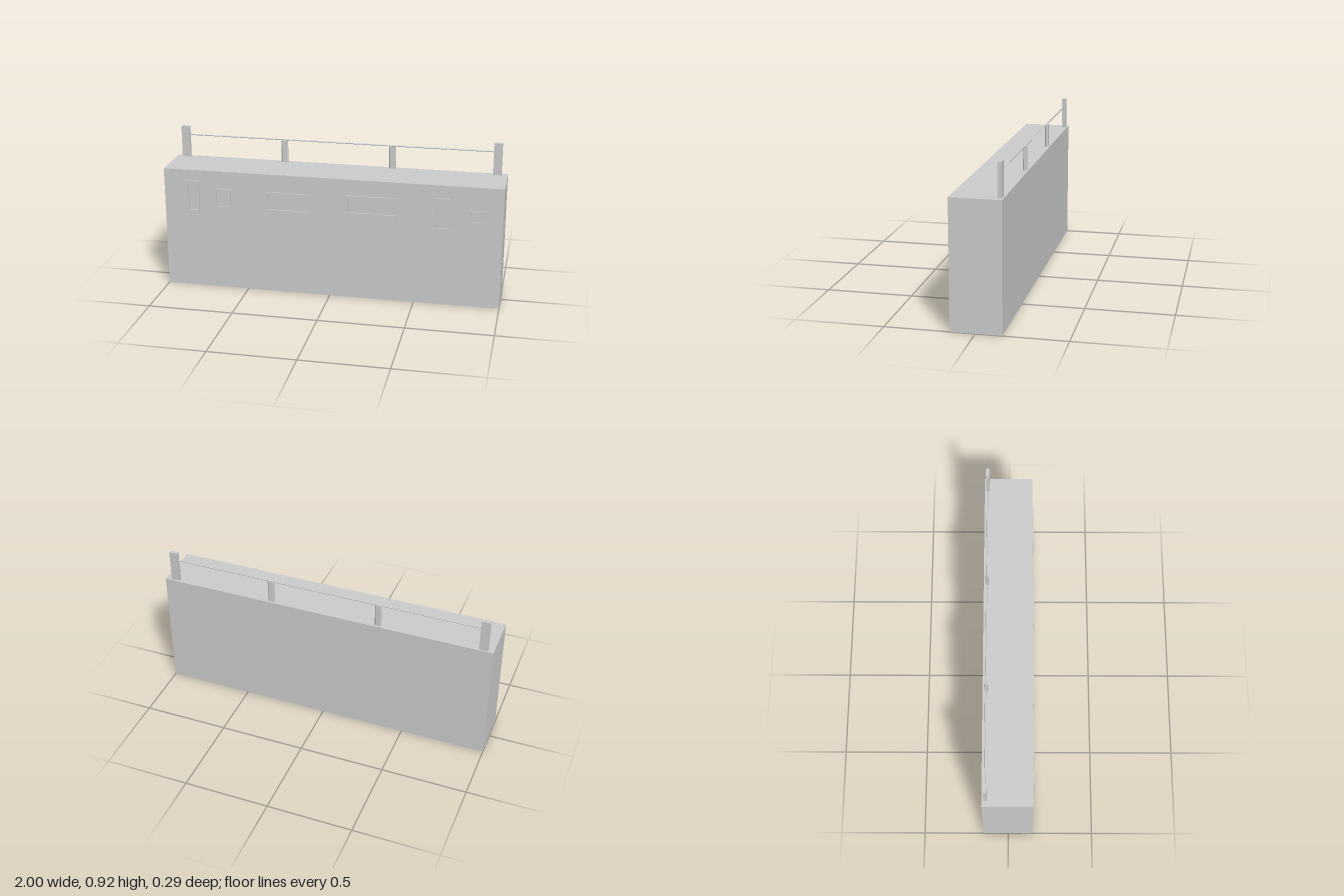
import * as THREE from 'three';

export function createModel() {
  const model = new THREE.Group();
  const material = new THREE.MeshStandardMaterial({ color: 0xcccccc, flatShading: true });
  const wallTop = 0.73, wallFront = 0.138, wallBack = -0.146, railZ = -0.126;

  const add = (name, geometry, x, y, z) => {
    const mesh = new THREE.Mesh(geometry, material);
    mesh.name = name;
    mesh.position.set(x, y, z);
    model.add(mesh);
    return mesh;
  };

  // Solid block of the building
  add('body', new THREE.BoxGeometry(2, wallTop, wallFront - wallBack), 0, wallTop / 2, (wallFront + wallBack) / 2);

  // Raised window frames on the front wall: left, right, bottom, top
  const border = 0.011;
  const rectangle = (Type, l, r, b, t) => new Type([[l, b], [r, b], [r, t], [l, t]].map(p => new THREE.Vector2(...p)));
  [
    [-0.861, -0.787, 0.474, 0.667],
    [-0.69, -0.597, 0.506, 0.624],
    [-0.382, -0.122, 0.506, 0.624],
    [0.102, 0.391, 0.521, 0.635],
    [0.614, 0.696, 0.462, 0.653],
    [0.81, 0.895, 0.511, 0.592],
  ].forEach(([l, r, b, t], i) => {
    const shape = rectangle(THREE.Shape, l, r, b, t);
    shape.holes.push(rectangle(THREE.Path, l + border, r - border, b + border, t - border));
    add(`windowFrame${i + 1}`, new THREE.ExtrudeGeometry(shape, { depth: 0.008, bevelEnabled: false }), 0, 0, wallFront);
  });

  // Tall square posts at the ends of the roof railing
  for (const x of [-0.942, 0.939]) {
    add('endPost', new THREE.BoxGeometry(0.05, 0.19, 0.021), x, wallTop + 0.095, railZ);
  }

  // Shorter posts with chamfered corners
  const w = 0.02, d = 0.009, c = 0.006;
  const outline = new THREE.Shape([
    [w, d - c], [w - c, d], [c - w, d], [-w, d - c],
    [-w, c - d], [c - w, -d], [w - c, -d], [w, c - d],
  ].map(p => new THREE.Vector2(...p)));
  for (const x of [-0.328, 0.323]) {
    const post = new THREE.ExtrudeGeometry(outline, { depth: 0.136, bevelEnabled: false });
    add('middlePost', post.rotateX(-Math.PI / 2), x, wallTop, railZ);
  }

  // Thin rail running between the end posts
  add('rail', new THREE.CylinderGeometry(0.004, 0.004, 1.85, 8).rotateZ(Math.PI / 2), 0, 0.868, railZ);

  return model;
}
